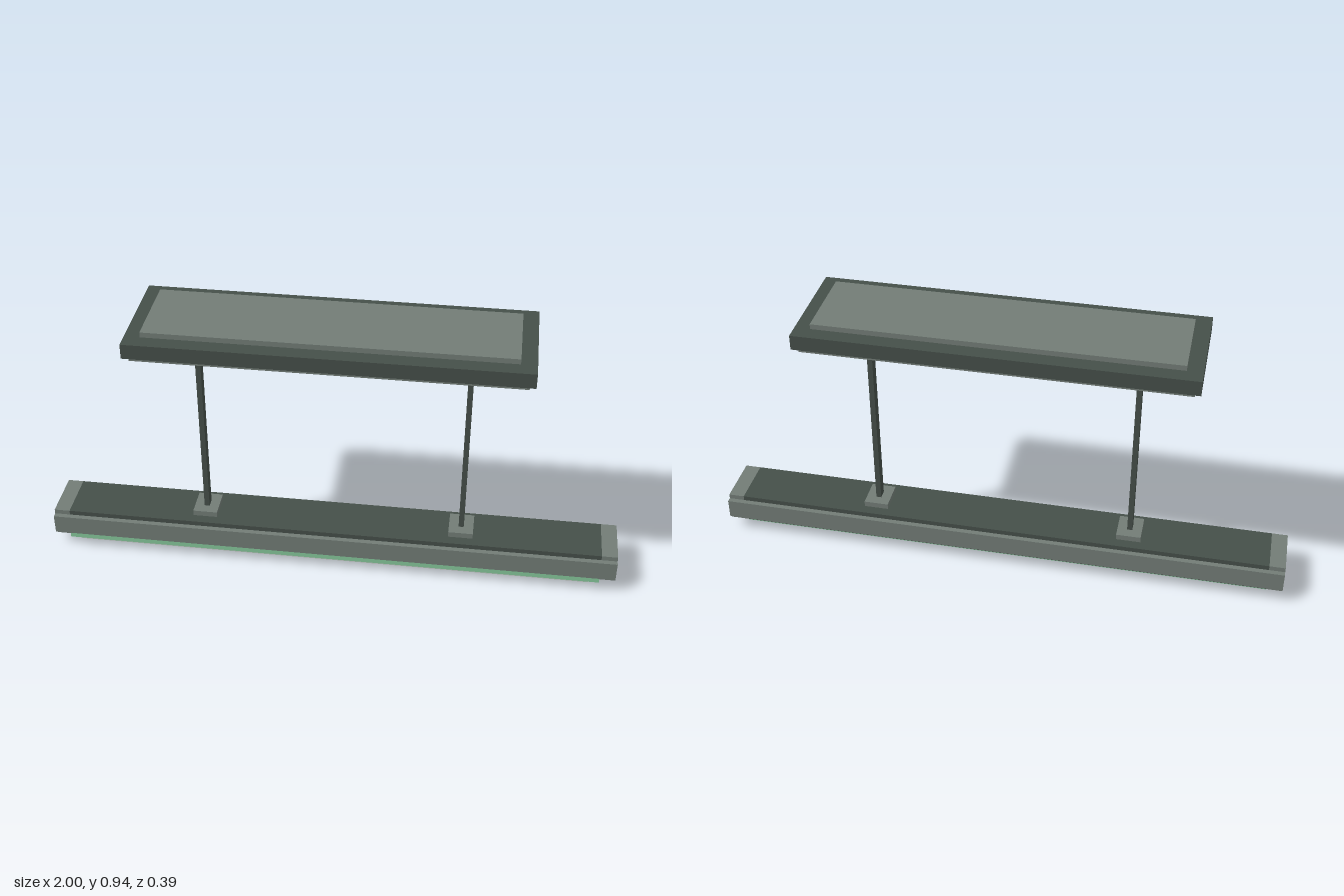
import * as THREE from 'three';

const material = (name, color) => {
  const m = new THREE.MeshStandardMaterial({ color });
  m.name = name;
  return m;
};

export function createModel() {
  const dark = material('dark metal', 0x454f49);
  const grey = material('grey metal', 0x727c76);
  const green = material('green glow', 0x85c79b);
  const pale = material('pale lens', 0xc0c8c0);

  const model = new THREE.Group();
  model.name = 'pendantLamp';

  // Box given by its [min, max] range on each axis
  const box = (name, mat, [x0, x1], [y0, y1], [z0, z1]) => {
    const mesh = new THREE.Mesh(new THREE.BoxGeometry(x1 - x0, y1 - y0, z1 - z0), mat);
    mesh.position.set((x0 + x1) / 2, (y0 + y1) / 2, (z0 + z1) / 2);
    mesh.name = name;
    model.add(mesh);
  };
  const around = (half, centre = 0) => [centre - half, centre + half];

  // Ceiling canopy
  box('canopyTopPlate', grey, around(0.607), [0.927, 0.945], around(0.142));
  box('canopyBody', dark, around(0.66), [0.875, 0.927], around(0.195));
  box('canopyLowerPlate', grey, around(0.64), [0.858, 0.875], around(0.178));

  // Lamp housing
  box('housingCore', dark, around(0.945), [0.038, 0.142], around(0.089));
  box('frontRail', grey, around(1), [0.055, 0.125], [0.089, 0.107]);
  box('backRail', grey, around(1), [0.055, 0.125], [-0.107, -0.089]);

  for (const [side, s] of [['left', 1], ['right', -1]]) {
    // Hanging rods with their fittings
    const x = s * 0.455;
    box(side + 'Collar', grey, around(0.025, x), [0.822, 0.858], around(0.036));
    box(side + 'Rod', dark, around(0.009, x), [0.162, 0.822], around(0.017));
    box(side + 'RodFoot', grey, around(0.043, x), [0.142, 0.162], around(0.053));
    // Housing end caps
    box(side + 'EndCap', grey, around(0.0275, s * 0.9725), [0.038, 0.142], around(0.089));
  }

  // Light strips under the housing
  box('frontGlowStrip', green, around(0.945), [0.038, 0.055], [0.089, 0.107]);
  box('glowTray', green, around(0.945), [0.02, 0.038], around(0.071));
  box('frontLensStrip', pale, around(0.91), [0.02, 0.038], [0.071, 0.089]);
  box('lens', pale, around(0.91), [0, 0.02], around(0.036));

  return model;
}
